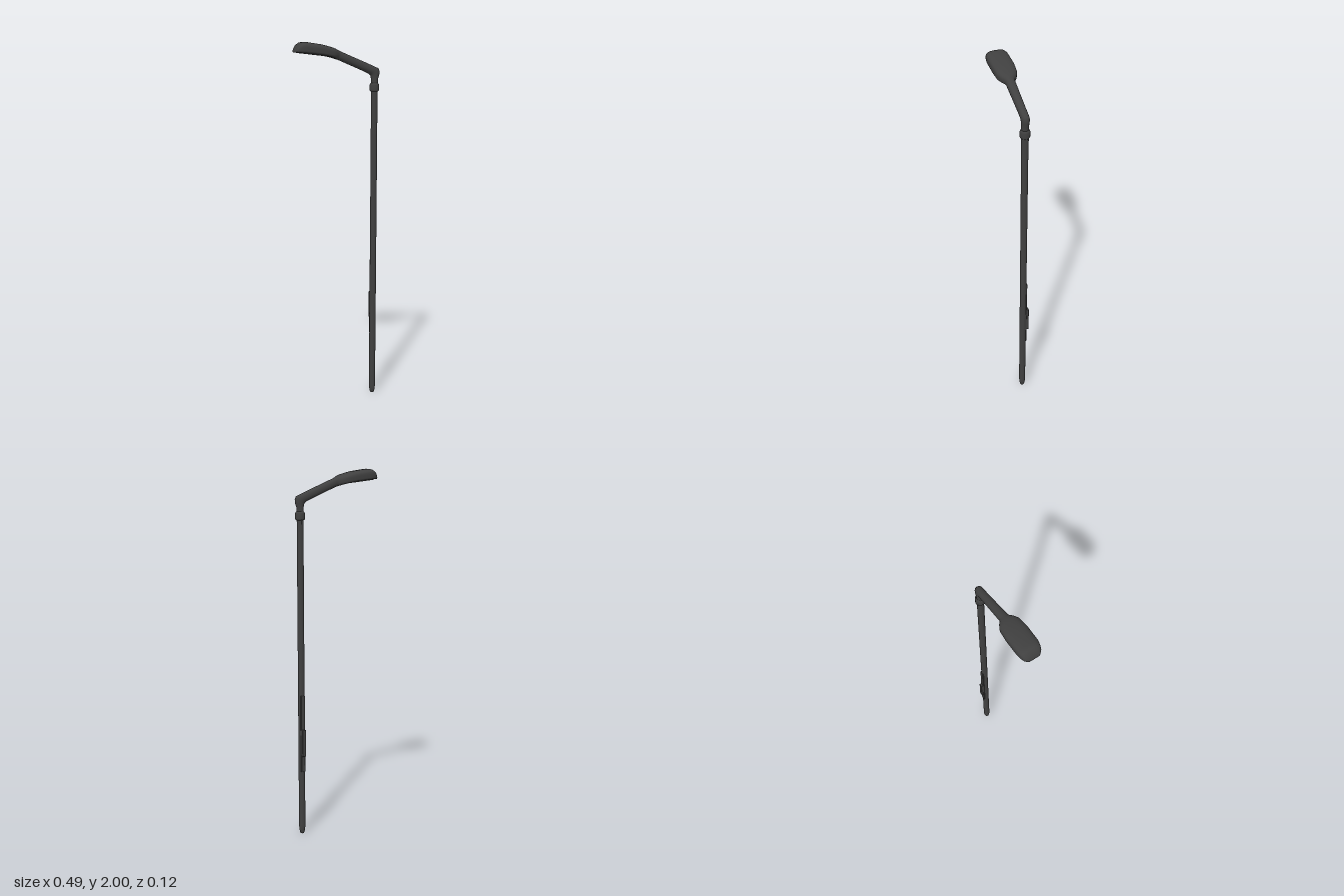
import * as THREE from 'three';
import { RoundedBoxGeometry } from 'three/addons/geometries/RoundedBoxGeometry.js';

const POLE_X = 0.215;
const dark = new THREE.MeshStandardMaterial({ color: 0x404040 });
const lensMaterial = new THREE.MeshStandardMaterial({ color: 0x555555 });

function add(group, name, geometry, x = 0, y = 0, z = 0, material = dark) {
  const mesh = new THREE.Mesh(geometry, material);
  mesh.name = name;
  mesh.position.set(x, y, z);
  group.add(mesh);
  return mesh;
}

function lathe(points, sides = 20) {
  return new THREE.LatheGeometry(points.map(p => new THREE.Vector2(...p)), sides);
}

// Skin through cross-sections: [topX, topY, bottomX, bottomY, halfWidth, topPower, bottomPower]
function loft(sections, sides = 28) {
  const positions = [], index = [];
  const bend = (v, n) => Math.sign(v) * Math.abs(v) ** (2 / n);
  const addRing = ([tx, ty, bx, by, w, topN, bottomN]) => {
    for (let i = 0; i < sides; i++) {
      const a = (i / sides) * Math.PI * 2, c = Math.cos(a), s = Math.sin(a);
      const n = c >= 0 ? topN : bottomN;
      const up = bend(c, n), side = bend(s, n);
      positions.push((tx + bx) / 2 + up * (tx - bx) / 2, (ty + by) / 2 + up * (ty - by) / 2, -side * w);
    }
  };
  sections.forEach(addRing);
  for (let k = 0; k < sections.length - 1; k++) {
    for (let i = 0; i < sides; i++) {
      const j = (i + 1) % sides, p = k * sides, q = p + sides;
      index.push(p + i, p + j, q + i, p + j, q + j, q + i);
    }
  }
  // Closed tip
  const last = sections[sections.length - 1], start = positions.length / 3;
  addRing(last);
  positions.push((last[0] + last[2]) / 2, (last[1] + last[3]) / 2, 0);
  for (let i = 0; i < sides; i++) index.push(start + sides, start + i, start + (i + 1) % sides);
  const geometry = new THREE.BufferGeometry();
  geometry.setAttribute('position', new THREE.Float32BufferAttribute(positions, 3));
  geometry.setIndex(index);
  geometry.computeVertexNormals();
  return geometry;
}

export function createModel() {
  const lamp = new THREE.Group();
  lamp.name = 'streetLamp';

  // Pole with a rounded foot
  add(lamp, 'pole', lathe([
    [0, 0], [0.009, 0], [0.013, 0.008], [0.0165, 0.03], [0.0178, 0.05], [0.0178, 1.74],
  ]), POLE_X);

  // Collar joining pole and arm
  add(lamp, 'collar', lathe([
    [0.0175, 1.733], [0.023, 1.735], [0.026, 1.74], [0.026, 1.768], [0.023, 1.775], [0.018, 1.78],
  ]), POLE_X);
  add(lamp, 'collarBolt', new RoundedBoxGeometry(0.01, 0.025, 0.01, 2, 0.002), POLE_X, 1.723, -0.016);

  // Elbow, rising arm and lamp head in one smooth skin
  add(lamp, 'armAndHead', loft([
    [0.234, 1.77, 0.196, 1.77, 0.019, 2, 2],
    [0.234, 1.80, 0.196, 1.80, 0.019, 2, 2],
    [0.242, 1.82, 0.194, 1.812, 0.020, 2, 2],
    [0.243, 1.844, 0.191, 1.82, 0.021, 2.2, 2],
    [0.236, 1.858, 0.187, 1.824, 0.021, 2.2, 2],
    [0.215, 1.867, 0.180, 1.829, 0.021, 2.2, 2],
    [0.170, 1.886, 0.155, 1.841, 0.021, 2.2, 2.2],
    [0.012, 1.950, 0.000, 1.905, 0.024, 2.3, 2.3],
    [-0.002, 1.957, -0.008, 1.907, 0.029, 2.4, 2.6],
    [-0.015, 1.963, -0.018, 1.911, 0.040, 2.5, 3],
    [-0.040, 1.972, -0.042, 1.919, 0.053, 2.6, 5],
    [-0.100, 1.987, -0.100, 1.931, 0.0585, 2.7, 6],
    [-0.190, 2.000, -0.190, 1.941, 0.0575, 2.7, 6],
    [-0.213, 1.997, -0.213, 1.943, 0.053, 2.7, 6],
    [-0.230, 1.984, -0.230, 1.945, 0.047, 2.7, 5],
    [-0.241, 1.963, -0.241, 1.945, 0.036, 2.7, 4],
    [-0.245, 1.952, -0.245, 1.946, 0.028, 2.5, 3],
  ]));

  // Flat lens on the underside of the head
  const outline = new THREE.Shape([
    [-0.088, -0.024], [-0.07, -0.041], [0.06, -0.043], [0.085, -0.026],
    [0.085, 0.026], [0.06, 0.043], [-0.07, 0.041], [-0.088, 0.024],
  ].map(p => new THREE.Vector2(...p)));
  const lensGeometry = new THREE.ExtrudeGeometry(outline, { depth: 0.006, bevelEnabled: false });
  lensGeometry.rotateX(Math.PI / 2);
  const lens = add(lamp, 'lens', lensGeometry, -0.14, 1.939, 0, lensMaterial);
  lens.rotation.z = -0.115;

  // Service door on the back of the pole
  add(lamp, 'doorFrame', new RoundedBoxGeometry(0.024, 0.43, 0.016, 2, 0.003), POLE_X, 0.575, -0.0125);
  add(lamp, 'serviceBox', new RoundedBoxGeometry(0.022, 0.15, 0.02, 2, 0.003), POLE_X, 0.525, -0.0225);

  return lamp;
}
